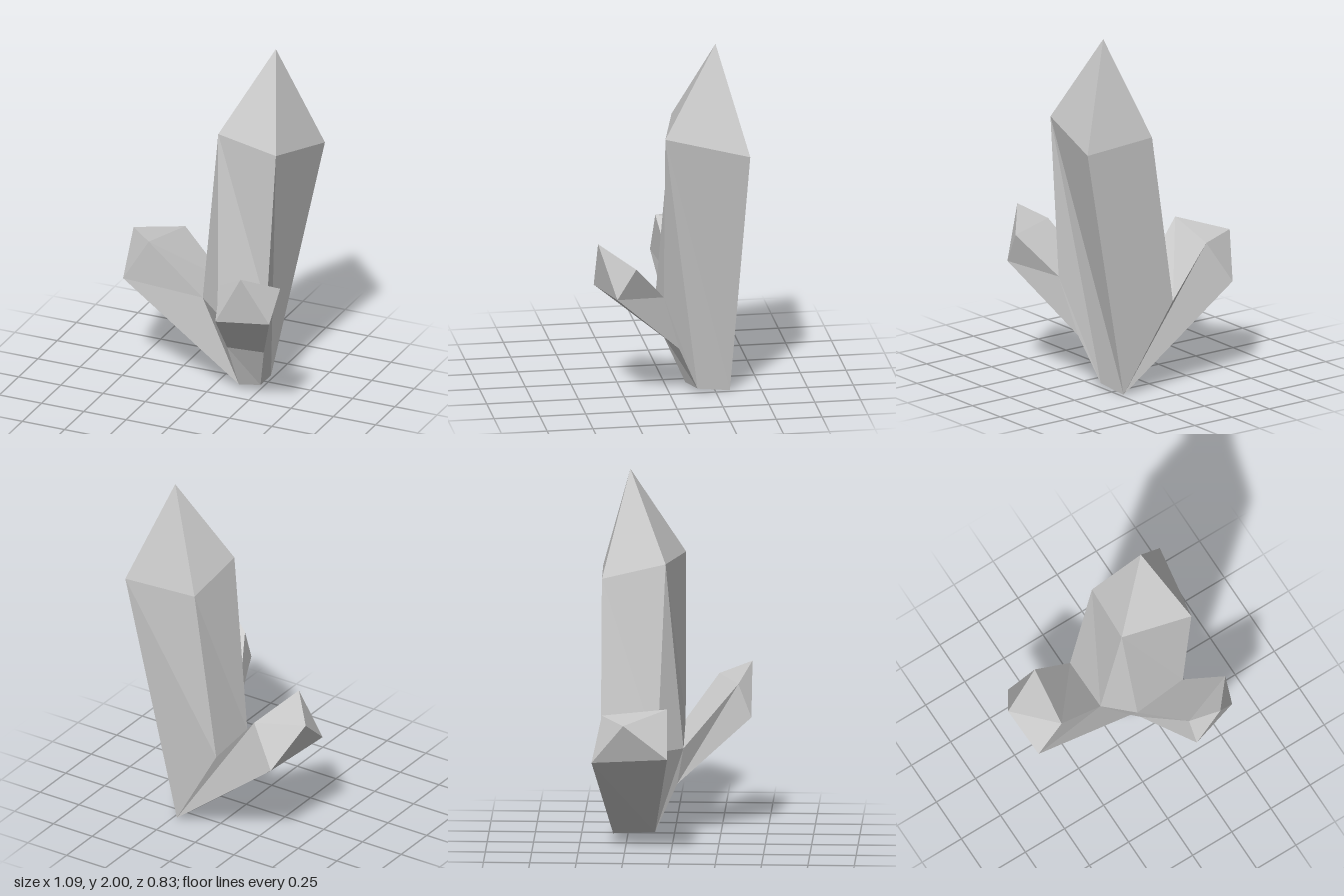
import * as THREE from 'three';

export function createModel() {
  const group = new THREE.Group();
  const material = new THREE.MeshStandardMaterial({ color: 0xcccccc, flatShading: true });

  // Shared foot corners
  const footFront = [0.145, 0.03, -0.1], footSide = [0.25, 0.025, -0.15], footBack = [0.23, 0, -0.33];
  // Valleys where the crystals meet
  const sideValleyFront = [-0.06, 0.515, -0.08], sideValleyBack = [-0.06, 0.49, -0.385];
  const frontValleyLeft = [0.09, 0.505, 0.055], frontValleyRight = [0.38, 0.6, 0.055];
  // Knee under the front crystal
  const kneeA = [0.13, 0.3, 0.02], kneeB = [0.32, 0.28, -0.04];

  // Builds a faceted mesh from triangles and quads (corners counter-clockwise)
  const addFacets = (name, faces) => {
    const points = [];
    for (const [a, b, c, d] of faces) {
      if (d) points.push(a, b, d, b, c, d);
      else points.push(a, b, c);
    }
    const geometry = new THREE.BufferGeometry();
    geometry.setAttribute('position', new THREE.Float32BufferAttribute(points.flat(), 3));
    geometry.computeVertexNormals();
    const mesh = new THREE.Mesh(geometry, material);
    mesh.name = name;
    group.add(mesh);
  };

  // Pointed tip over a ring of corners
  const tip = (ring, apex) => ring.map((p, i) => [p, ring[(i + 1) % ring.length], apex]);

  // Shaft between a root ring and a shoulder ring
  const shaft = (root, ring) => ring.map((p, i) => {
    const j = (i + 1) % ring.length;
    return [root[i], root[j], ring[j], p];
  });

  // Tall main crystal
  const [a, b, c, d] = [[0.05, 1.53, -0.04], [0.435, 1.515, 0.055], [0.52, 1.42, -0.395], [0.08, 1.44, -0.385]];
  addFacets('mainCrystal', [
    ...tip([a, b, c, d], [0.3, 2, -0.24]),
    [frontValleyLeft, frontValleyRight, b, a],
    [frontValleyRight, footSide, b],
    [footSide, footBack, c, b],
    [footBack, sideValleyBack, d, c],
    [sideValleyBack, sideValleyFront, a, d],
    [sideValleyFront, frontValleyLeft, a],
  ]);

  // Small crystal leaning sideways
  const sideRing = [[-0.5, 0.575, -0.01], [-0.35, 0.82, -0.015], [-0.295, 0.77, -0.37], [-0.435, 0.54, -0.42]];
  addFacets('sideCrystal', [
    ...tip(sideRing, [-0.545, 0.77, -0.245]),
    ...shaft([footFront, sideValleyFront, sideValleyBack, footBack], sideRing),
  ]);

  // Small crystal leaning forward
  const frontRing = [[0.24, 0.645, 0.415], [0.52, 0.645, 0.33], [0.54, 0.82, 0.23], [0.235, 0.83, 0.345]];
  addFacets('frontCrystal', [
    ...tip(frontRing, [0.39, 0.925, 0.415]),
    ...shaft([kneeA, kneeB, frontValleyRight, frontValleyLeft], frontRing),
  ]);

  // Narrow foot joining the three crystals
  addFacets('foot', [
    [footFront, footSide, kneeB, kneeA],
    [footSide, frontValleyRight, kneeB],
    [sideValleyFront, footFront, kneeA, frontValleyLeft],
    [footBack, footSide, footFront],
  ]);

  return group;
}
